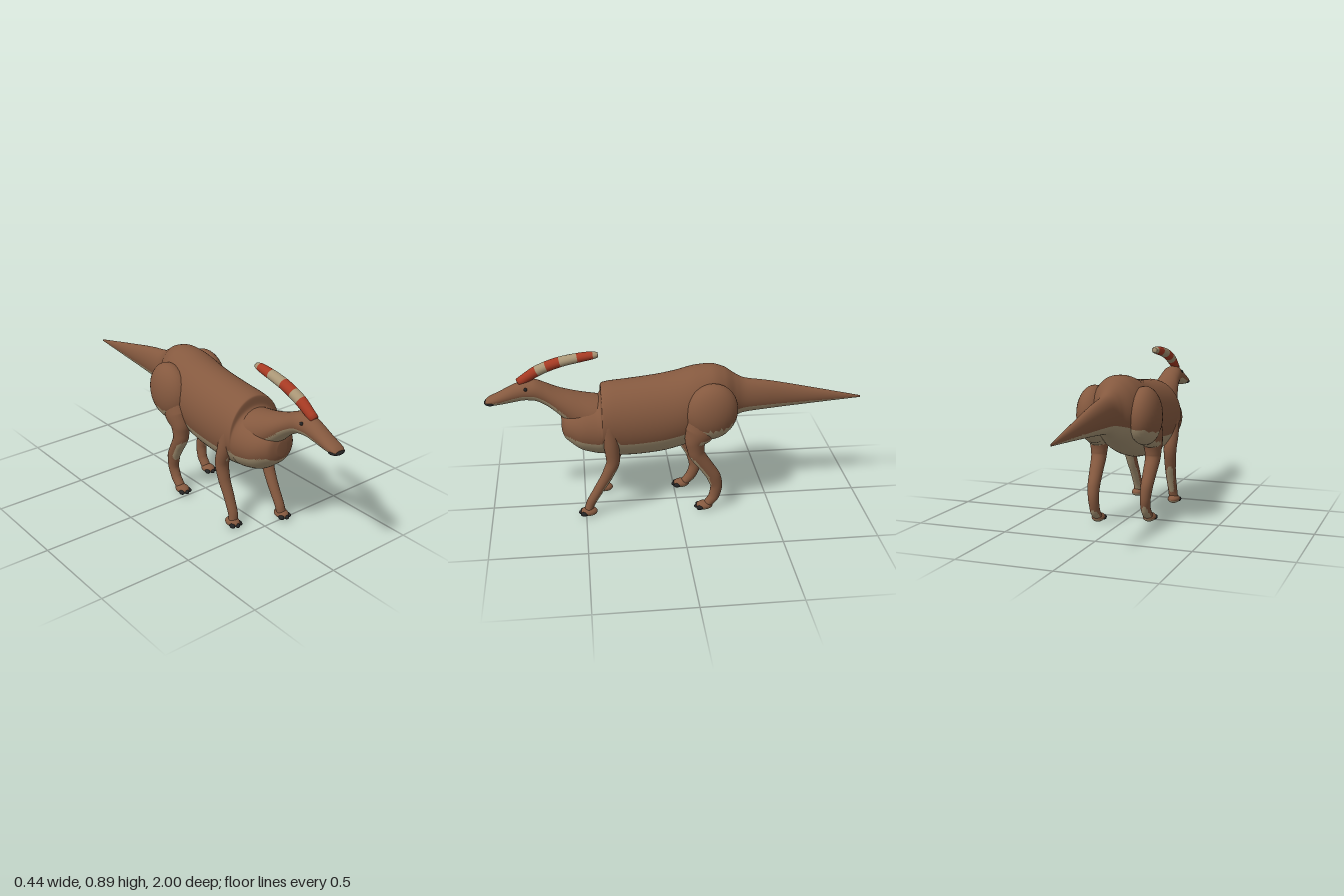
import * as THREE from 'three';

const mat = (name, color) => {
  const m = new THREE.MeshStandardMaterial({ color });
  m.name = name;
  return m;
};
const brown = mat('brown hide', 0x85593f);
const tan = mat('tan underside', 0xa99676);
const red = mat('red crest stripe', 0xa63a23);
const black = mat('black horn', 0x242424);

// Monotone smooth interpolation of a table of rows, t in 0..1
function sample(rows, t) {
  const n = rows.length - 1;
  const i = Math.min(Math.floor(t * n), n - 1), f = t * n - i;
  return rows[0].map((_, c) => {
    const d = k => rows[k + 1][c] - rows[k][c];
    const slope = k => {
      if (k === 0) return d(0);
      if (k === n) return d(n - 1);
      const a = d(k - 1), b = d(k);
      return a * b <= 0 ? 0 : 2 * a * b / (a + b);
    };
    const p = rows[i][c], q = rows[i + 1][c], f2 = f * f, f3 = f2 * f;
    return p * (2 * f3 - 3 * f2 + 1) + slope(i) * (f3 - 2 * f2 + f)
      + q * (3 * f2 - 2 * f3) + slope(i + 1) * (f3 - f2);
  });
}

// Skin over elliptical rings; ringAt(t) gives centre, half width, half height, up axis
function skin(ringAt, steps, sides) {
  const pos = [], index = [];
  for (let i = -1; i <= steps + 1; i++) {
    const { c, w, h, up } = ringAt(Math.min(Math.max(i / steps, 0), 1));
    const s = i < 0 || i > steps ? 0.001 : 1; // closed ends
    for (let j = 0; j < sides; j++) {
      const a = j / sides * Math.PI * 2, x = Math.cos(a) * w * s, y = Math.sin(a) * h * s;
      pos.push(c.x + x, c.y + up.y * y, c.z + up.z * y);
    }
  }
  for (let i = 0; i < steps + 2; i++) {
    for (let j = 0; j < sides; j++) {
      const k = (j + 1) % sides, a = i * sides, b = a + sides;
      index.push(a + j, b + j, a + k, b + j, b + k, a + k);
    }
  }
  const g = new THREE.BufferGeometry();
  g.setAttribute('position', new THREE.Float32BufferAttribute(pos, 3));
  g.setIndex(index);
  g.computeVertexNormals();
  return g;
}

// Body form from upright slices: [z, top, bottom, half width], front to back
const UP = new THREE.Vector3(0, 1, 0);
const trunk = (rows, steps, sides) => skin(t => {
  const [z, top, bottom, w] = sample(rows, t);
  return { c: new THREE.Vector3(0, (top + bottom) / 2, z), w, h: (top - bottom) / 2, up: UP };
}, steps, sides);

// Limb along a path: [x, y, z, half width, half depth]
const limb = (rows, steps, sides) => skin(t => {
  const [x, y, z, w, h] = sample(rows, t);
  const a = sample(rows, Math.max(t - 0.01, 0)), b = sample(rows, Math.min(t + 0.01, 1));
  const dir = new THREE.Vector3(0, b[1] - a[1], b[2] - a[2]).normalize();
  return { c: new THREE.Vector3(x, y, z), w, h, up: new THREE.Vector3(1, 0, 0).cross(dir) };
}, steps, sides);

const ball = (x, y, z, rx, ry, rz, tilt = 0) => new THREE.SphereGeometry(1, 28, 20)
  .scale(rx, ry, rz).rotateX(tilt).translate(x, y, z);

// Sort triangles into material groups
function split(geo, count, pick) {
  const lists = Array.from({ length: count }, () => []);
  const idx = geo.index.array;
  for (let i = 0; i < idx.length; i += 3) {
    lists[pick(i / 3, idx[i], idx[i + 1], idx[i + 2])].push(idx[i], idx[i + 1], idx[i + 2]);
  }
  geo.setIndex(lists.flat());
  let start = 0;
  lists.forEach((l, k) => { geo.addGroup(start, l.length, k); start += l.length; });
  return geo;
}

// Brown hide, tan wherever the surface faces down
function hide(name, geo) {
  const n = geo.attributes.normal;
  split(geo, 2, (_, a, b, c) => (n.getY(a) + n.getY(b) + n.getY(c)) / 3 < -0.33 ? 1 : 0);
  const mesh = new THREE.Mesh(geo, [brown, tan]);
  mesh.name = name;
  return mesh;
}

function plain(name, geo, material) {
  const mesh = new THREE.Mesh(geo, material);
  mesh.name = name;
  return mesh;
}

// Paw with three claws
function foot(x, z) {
  const g = new THREE.Group();
  g.name = 'foot';
  g.add(hide('paw', ball(x, 0.025, z, 0.034, 0.024, 0.045)));
  for (const dx of [-1, 0, 1]) {
    g.add(plain('claw', ball(x + dx * 0.024, 0.02, z + 0.036 - Math.abs(dx) * 0.01,
      0.012, 0.013, 0.02), black));
  }
  return g;
}

export function createModel() {
  const model = new THREE.Group();
  model.name = 'crestedDinosaur';

  // Chest, belly, hips and tail
  model.add(hide('bodyAndTail', trunk([
    [0.608, 0.54, 0.46, 0.03], [0.595, 0.575, 0.425, 0.075], [0.56, 0.6, 0.392, 0.112],
    [0.5, 0.62, 0.35, 0.14], [0.42, 0.64, 0.328, 0.155], [0.402, 0.66, 0.325, 0.159],
    [0.396, 0.705, 0.324, 0.163], [0.36, 0.717, 0.316, 0.165], [0.25, 0.728, 0.307, 0.166],
    [0.1, 0.745, 0.318, 0.166], [0, 0.763, 0.34, 0.166], [-0.1, 0.788, 0.375, 0.16],
    [-0.18, 0.795, 0.42, 0.145], [-0.25, 0.777, 0.46, 0.115], [-0.31, 0.738, 0.495, 0.075],
    [-0.36, 0.712, 0.515, 0.058], [-0.5, 0.688, 0.53, 0.046], [-0.75, 0.634, 0.55, 0.026],
    [-1, 0.578, 0.568, 0.003],
  ], 126, 56)));

  // Neck and head
  model.add(hide('neckAndHead', trunk([
    [0.99, 0.652, 0.632, 0.028], [0.975, 0.664, 0.626, 0.037], [0.94, 0.682, 0.623, 0.042],
    [0.9, 0.702, 0.627, 0.043], [0.84, 0.732, 0.637, 0.047], [0.79, 0.748, 0.644, 0.052],
    [0.74, 0.752, 0.64, 0.057], [0.68, 0.73, 0.61, 0.062], [0.64, 0.711, 0.578, 0.07],
    [0.6, 0.695, 0.54, 0.08], [0.5, 0.667, 0.45, 0.105], [0.41, 0.648, 0.42, 0.12],
    [0.34, 0.63, 0.4, 0.12],
  ], 72, 40)));
  model.add(plain('beak', ball(0, 0.638, 0.965, 0.043, 0.015, 0.035), black));

  // Swept-back crest, one stripe per segment
  const steps = 36, sides = 24;
  const crest = limb([
    [0, 0.74, 0.815, 0.022, 0.024], [0, 0.8, 0.72, 0.029, 0.028], [0, 0.822, 0.67, 0.03, 0.028],
    [0, 0.845, 0.6, 0.03, 0.027], [0, 0.863, 0.51, 0.028, 0.025], [0, 0.874, 0.43, 0.023, 0.02],
    [0, 0.876, 0.404, 0.015, 0.013],
  ], steps, sides);
  split(crest, 2, tri => {
    const row = Math.min(Math.max(Math.floor(tri / (2 * sides)) - 1, 0), steps - 1);
    return Math.floor(row / 6) % 2;
  });
  model.add(plain('crest', crest, [red, tan]));

  for (const side of [1, -1]) {
    const label = side > 0 ? 'left' : 'right';
    model.add(plain(label + 'Eye', ball(side * 0.048, 0.719, 0.78, 0.008, 0.009, 0.009), black));

    // The right legs are mid-stride: fore leg back, hind leg forward
    const foreZ = (y, z) => z + (side < 0 ? -0.1 * (1 - y / 0.6) : 0);
    const hindZ = (y, z) => z + (side < 0 ? 0.1 * (1 - y / 0.9) : 0);
    const pose = (rows, fz) => rows.map(([x, y, z, w, d]) => [side * x, y, fz(y, z), w, d]);

    const fore = new THREE.Group();
    fore.name = label + 'ForeLeg';
    fore.add(hide('foreLimb', limb(pose([
      [0.12, 0.6, 0.37, 0.02, 0.025], [0.128, 0.52, 0.365, 0.038, 0.045],
      [0.133, 0.42, 0.355, 0.038, 0.04], [0.13, 0.33, 0.348, 0.036, 0.036],
      [0.127, 0.25, 0.375, 0.032, 0.031], [0.122, 0.15, 0.43, 0.028, 0.026],
      [0.122, 0.07, 0.475, 0.026, 0.024], [0.126, 0.028, 0.49, 0.026, 0.02],
    ], foreZ), 48, 24)));
    fore.add(foot(side * 0.127, foreZ(0.03, 0.485)));
    model.add(fore);

    const hind = new THREE.Group();
    hind.name = label + 'HindLeg';
    hind.add(hide('thigh', ball(side * 0.132, 0.585, hindZ(0.585, -0.17), 0.088, 0.155, 0.138, -0.25)));
    hind.add(hide('hindLimb', limb(pose([
      [0.13, 0.58, -0.12, 0.06, 0.08], [0.137, 0.49, -0.11, 0.064, 0.085],
      [0.142, 0.42, -0.085, 0.05, 0.055], [0.142, 0.36, -0.09, 0.042, 0.044],
      [0.138, 0.27, -0.145, 0.036, 0.038], [0.134, 0.2, -0.188, 0.032, 0.037],
      [0.13, 0.14, -0.203, 0.028, 0.032], [0.127, 0.08, -0.192, 0.026, 0.029],
      [0.127, 0.03, -0.155, 0.026, 0.022],
    ], hindZ), 56, 24)));
    hind.add(foot(side * 0.128, hindZ(0.03, -0.14)));
    model.add(hind);
  }
  return model;
}
